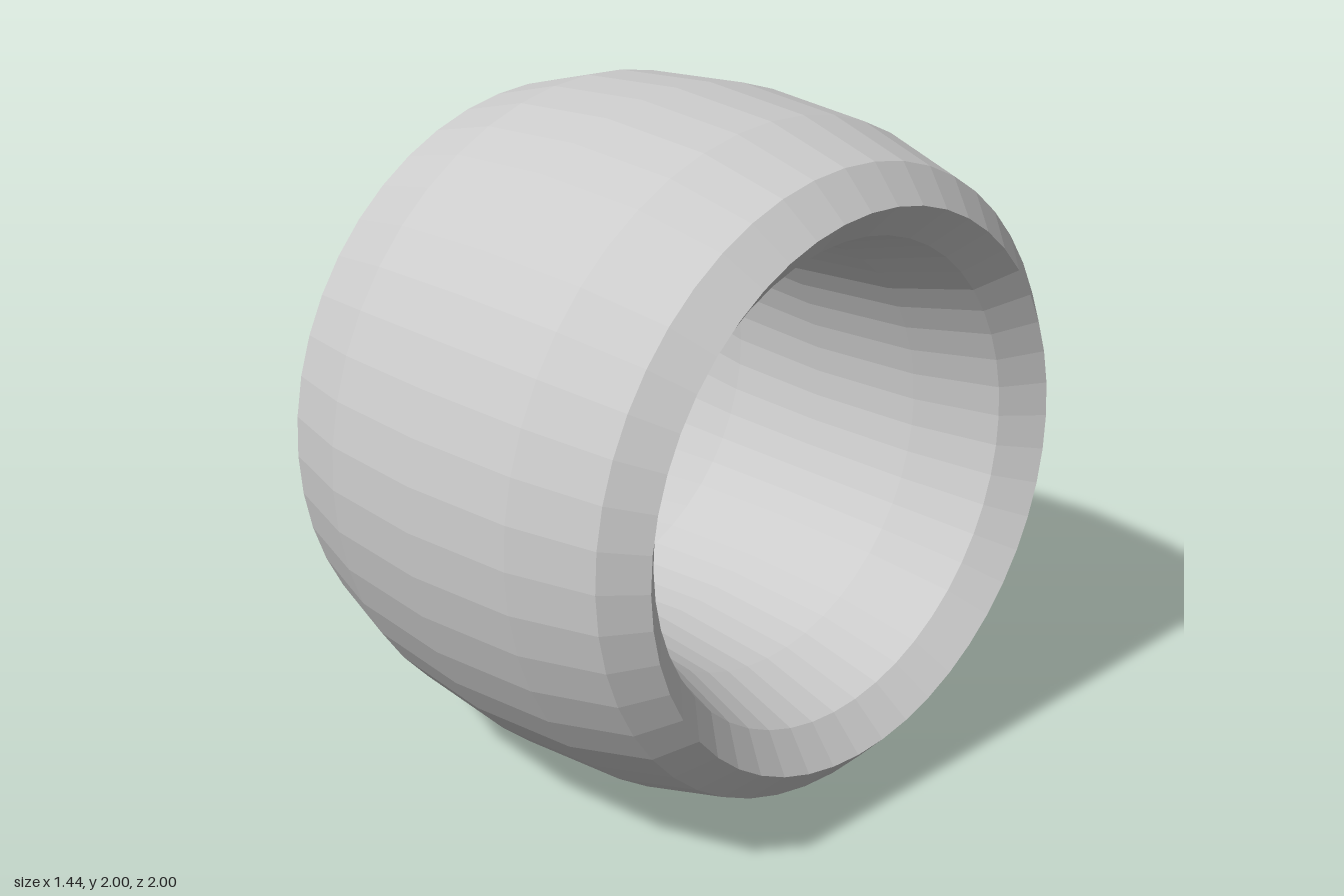
import * as THREE from 'three';

export function createModel() {
  const model = new THREE.Group();

  // Wide ring: a faceted torus stretched along its own axis
  const geometry = new THREE.TorusGeometry(0.8, 0.2, 12, 48);
  geometry.scale(1, 1, 3.55);
  geometry.rotateY(Math.PI / 2);

  const ring = new THREE.Mesh(
    geometry,
    new THREE.MeshStandardMaterial({ color: 0xcccccc, flatShading: true })
  );
  ring.name = 'ringBand';
  ring.rotation.z = 0.012; // slight lean
  ring.position.y = 1;
  model.add(ring);

  return model;
}
